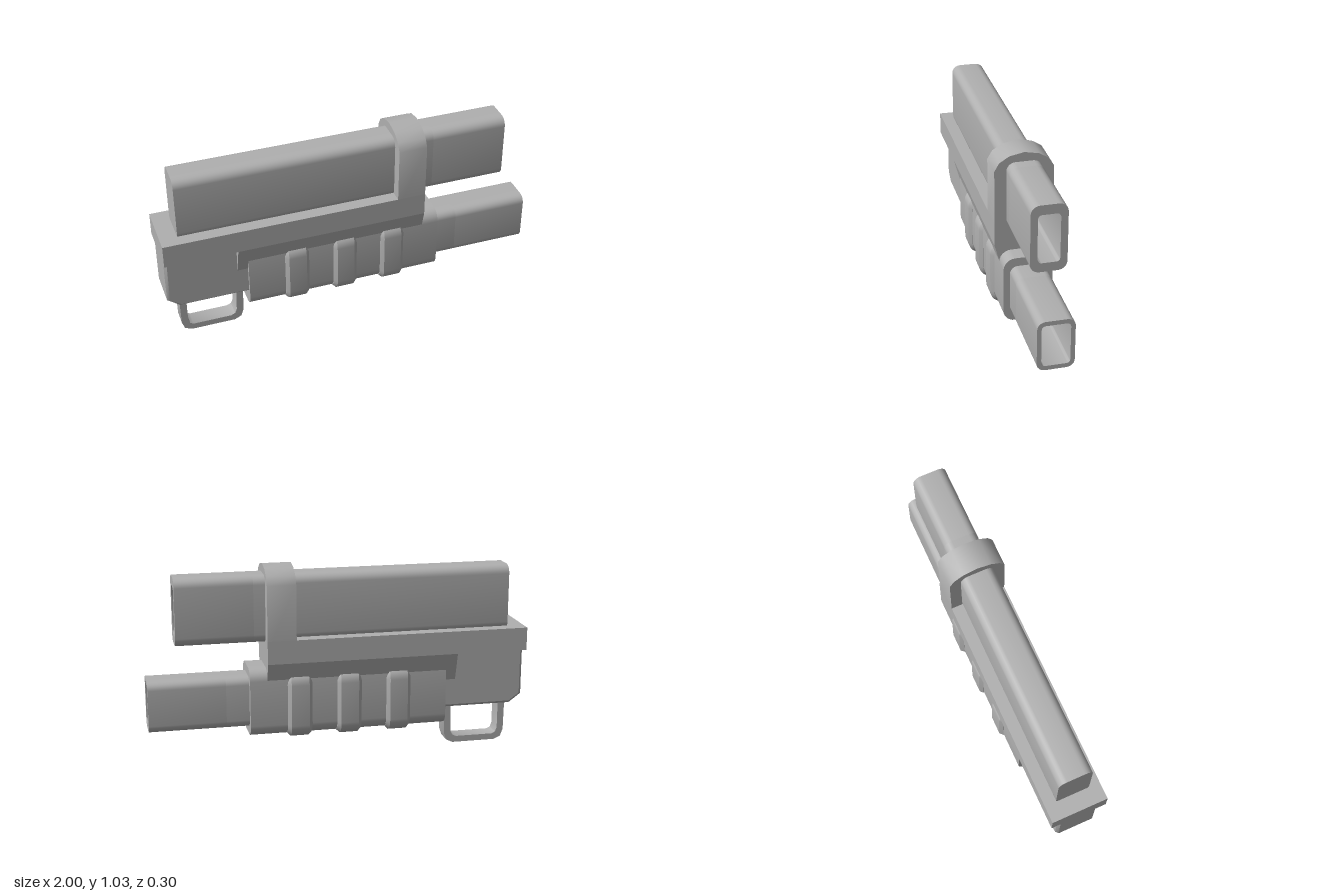
import * as THREE from 'three';
import { toCreasedNormals } from 'three/addons/utils/BufferGeometryUtils.js';

const metal = new THREE.MeshStandardMaterial({ color: 0xb0b0b0 });
metal.name = 'grey metal';

// Rounded rectangle cross-section, centred on z = 0, from y0 to y1
function roundedRect(half, y0, y1, r, path = new THREE.Shape()) {
  path.absarc(half - r, y0 + r, r, -Math.PI / 2, 0);
  path.absarc(half - r, y1 - r, r, 0, Math.PI / 2);
  path.absarc(-half + r, y1 - r, r, Math.PI / 2, Math.PI);
  path.absarc(-half + r, y0 + r, r, Math.PI, Math.PI * 1.5);
  path.closePath();
  return path;
}

const polygon = (pts) => new THREE.Shape(pts.map(([x, y]) => new THREE.Vector2(x, y)));

export function createModel() {
  const model = new THREE.Group();
  model.name = 'twinBarrelLauncher';

  function add(name, geometry, parent = model) {
    const mesh = new THREE.Mesh(toCreasedNormals(geometry, 0.7), metal);
    mesh.name = name;
    parent.add(mesh);
    return mesh;
  }

  // Extrudes a (z, y) cross-section along x; an optional bevel stays inside the outline
  function prism(name, shape, x0, x1, bevel = 0, parent = model) {
    const g = new THREE.ExtrudeGeometry(shape, {
      depth: x1 - x0 - 2 * bevel, curveSegments: 3, bevelEnabled: bevel > 0,
      bevelThickness: bevel, bevelSize: bevel, bevelOffset: -bevel, bevelSegments: 1,
    });
    g.translate(0, 0, x0 + bevel);
    g.rotateY(Math.PI / 2);
    return add(name, g, parent);
  }

  // Extrudes a side (x, y) profile across z
  function sideProfile(name, shape, half, bevel = 0) {
    const g = new THREE.ExtrudeGeometry(shape, {
      depth: 2 * (half - bevel), curveSegments: 3, bevelEnabled: bevel > 0,
      bevelThickness: bevel, bevelSize: bevel, bevelOffset: -bevel, bevelSegments: 1,
    });
    g.translate(0, 0, -(half - bevel));
    return add(name, g);
  }

  // Barrel: solid body with a hollow muzzle section
  function barrel(name, x0, x1, depth, outer, inner) {
    const group = new THREE.Group();
    group.name = name;
    model.add(group);
    prism(name + 'Body', roundedRect(...outer), x0, x1 - depth, 0, group);
    const muzzle = roundedRect(...outer);
    muzzle.holes.push(roundedRect(...inner, new THREE.Path()));
    prism(name + 'Muzzle', muzzle, x1 - depth, x1, 0, group);
  }
  barrel('upperBarrel', -0.91, 0.85, 0.4, [0.09, 0.63, 0.98, 0.045], [0.055, 0.677, 0.93, 0.02]);
  barrel('lowerBarrel', 0.3, 1, 0.4, [0.093, 0.183, 0.452, 0.04], [0.071, 0.206, 0.429, 0.02]);

  // Flat rail with a tapered underside
  prism('rail', polygon([[-0.15, 0.53], [0.15, 0.53], [0.15, 0.652], [-0.15, 0.652]]), -1, 0.39);
  prism('railTaper', polygon([[-0.107, 0.37], [0.107, 0.37], [0.15, 0.53], [-0.15, 0.53]]), -0.62, 0.39);

  // Band that holds the upper barrel
  prism('barrelBand', polygon([
    [-0.15, 0.6], [0.15, 0.6], [0.15, 0.94], [0.125, 0.983], [0.075, 1.014],
    [0, 1.029], [-0.075, 1.014], [-0.125, 0.983], [-0.15, 0.94],
  ]), 0.24, 0.39);

  // Fore-end jacket with three grip ribs
  prism('jacket', roundedRect(0.126, 0.137, 0.497, 0.06), -0.565, 0.48);
  for (const x of [-0.305, -0.042, 0.22]) {
    prism('gripRib', roundedRect(0.145, 0.12, 0.477, 0.07), x - 0.065, x + 0.065, 0.018);
  }

  // Rear receiver block
  sideProfile('receiver', polygon([
    [-0.995, 0.275], [-0.93, 0.227], [-0.55, 0.227], [-0.55, 0.54], [-0.995, 0.54],
  ]), 0.11, 0.014);

  // Loop guard under the receiver
  const guard = polygon([
    [-0.925, 0.24], [-0.922, 0.06], [-0.908, 0.02], [-0.87, 0.003], [-0.635, 0.003],
    [-0.6, 0.02], [-0.586, 0.06], [-0.582, 0.24], [-0.618, 0.24], [-0.623, 0.07],
    [-0.633, 0.046], [-0.655, 0.036], [-0.86, 0.036], [-0.878, 0.046], [-0.887, 0.07], [-0.888, 0.24],
  ]);
  sideProfile('loopGuard', guard, 0.044);

  return model;
}
